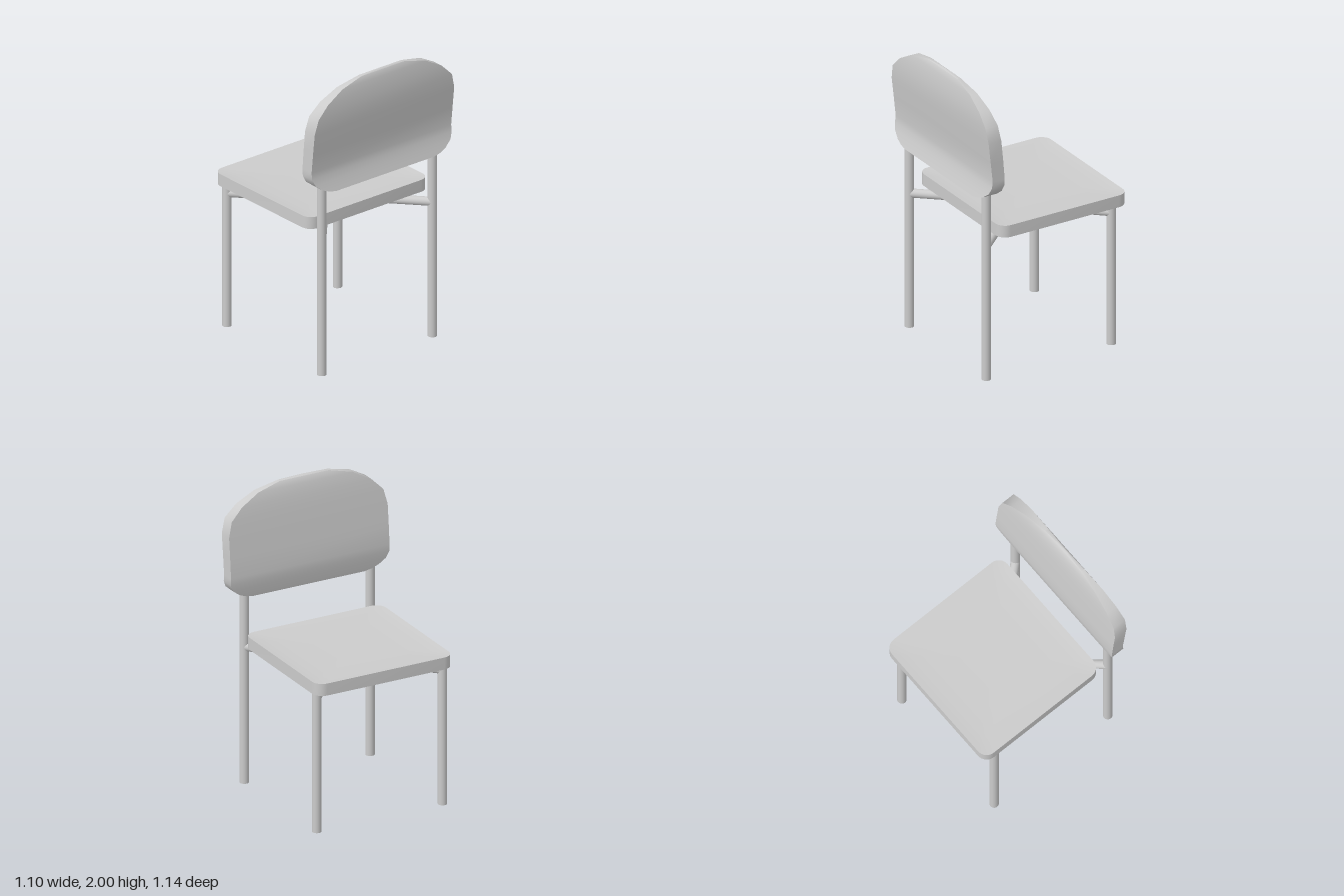
import * as THREE from 'three';
import { toCreasedNormals } from 'three/addons/utils/BufferGeometryUtils.js';

const material = new THREE.MeshStandardMaterial({ color: 0xcccccc });

function part(name, geometry, parent) {
  const mesh = new THREE.Mesh(geometry, material);
  mesh.name = name;
  parent.add(mesh);
  return mesh;
}

// Round bar between two points
function bar(name, from, to, radius, parent) {
  const axis = to.clone().sub(from);
  const mesh = part(name, new THREE.CylinderGeometry(radius, radius, axis.length(), 20), parent);
  mesh.position.copy(from).add(to).multiplyScalar(0.5);
  mesh.quaternion.setFromUnitVectors(new THREE.Vector3(0, 1, 0), axis.normalize());
  return mesh;
}

// Skin over a stack of closed loops, each anticlockwise seen from above
function loft(loops, crease) {
  const positions = [];
  for (let i = 0; i < loops.length - 1; i++) {
    const lo = loops[i], hi = loops[i + 1];
    for (let k = 0; k < lo.length; k++) {
      const n = (k + 1) % lo.length;
      positions.push(...lo[k], ...lo[n], ...hi[n], ...lo[k], ...hi[n], ...hi[k]);
    }
  }
  const g = new THREE.BufferGeometry();
  g.setAttribute('position', new THREE.Float32BufferAttribute(positions, 3));
  return toCreasedNormals(g, crease);
}

// Slab with rounded corners in plan and a very shallow dished top
function seatGeometry() {
  const hx = 0.471, hz = 0.491, r = 0.07, steps = 8;
  const outline = [];
  for (let corner = 0; corner < 4; corner++) {
    const sx = corner === 0 || corner === 3 ? 1 : -1, sz = corner < 2 ? 1 : -1;
    for (let i = 0; i <= steps; i++) {
      const a = (corner + i / steps) * Math.PI / 2;
      outline.push([sx * (hx - r) + r * Math.cos(a), sz * (hz - r) + r * Math.sin(a)]);
    }
  }
  // Scale of the outline and height, from the middle below to the middle above
  const rings = [[0, 0.969], [1, 0.969], [1, 1.051], [0.93, 1.047], [0.8, 1.042], [0.5, 1.039], [0, 1.038]];
  return loft(rings.map(([s, y]) => outline.map(([x, z]) => [x * s - 0.079, y, -z * s])), 0.6);
}

// Panel from level rows: [height, half width, front x, rear x]
function backrestGeometry() {
  const rows = [
    [1.273, 0, 0.441, 0.546],
    [1.273, 0.4, 0.441, 0.546], [1.282, 0.45, 0.439, 0.543], [1.302, 0.5, 0.435, 0.536],
    [1.34, 0.55, 0.428, 0.524], [1.385, 0.57, 0.421, 0.512], [1.43, 0.57, 0.418, 0.507],
    [1.56, 0.57, 0.429, 0.521], [1.7, 0.57, 0.443, 0.537], [1.8, 0.545, 0.454, 0.545],
    [1.88, 0.465, 0.465, 0.541], [1.95, 0.34, 0.48, 0.532], [1.99, 0.175, 0.496, 0.521],
    [2, 0, 0.51, 0.51],
  ];
  return loft(rows.map(([y, w, front, rear]) =>
    [[front, y, -w], [front, y, w], [rear, y, w], [rear, y, -w]]), 0.75);
}

export function createModel() {
  const chair = new THREE.Group();
  chair.name = 'chair';
  part('seat', seatGeometry(), chair);
  part('backrest', backrestGeometry(), chair);

  const v = (x, y, z) => new THREE.Vector3(x, y, z);
  const frontX = -0.452, rearX = 0.475, midZ = 0.009, braceY = 0.926, braceR = 0.029;

  for (const side of [1, -1]) {
    const label = side > 0 ? 'left' : 'right';
    const z = midZ + side * 0.452;

    // Legs: the rear ones carry on up into the backrest
    bar(label + 'FrontLeg', v(frontX, 0.01, z), v(frontX, 0.972, z), 0.03, chair);
    bar(label + 'RearLeg', v(rearX, 0, z), v(rearX, 1.31, z), 0.03, chair);

    // Bent brace under the seat, elbow meeting its twin at the middle
    const brace = new THREE.Group();
    brace.name = label + 'Brace';
    const elbow = v(0, braceY, midZ + side * braceR);
    bar('braceFrontArm', v(frontX, braceY, z), elbow, braceR, brace);
    bar('braceRearArm', v(rearX, braceY, z), elbow, braceR, brace);
    part('braceElbow', new THREE.SphereGeometry(braceR, 20, 12), brace).position.copy(elbow);
    chair.add(brace);
  }
  return chair;
}
